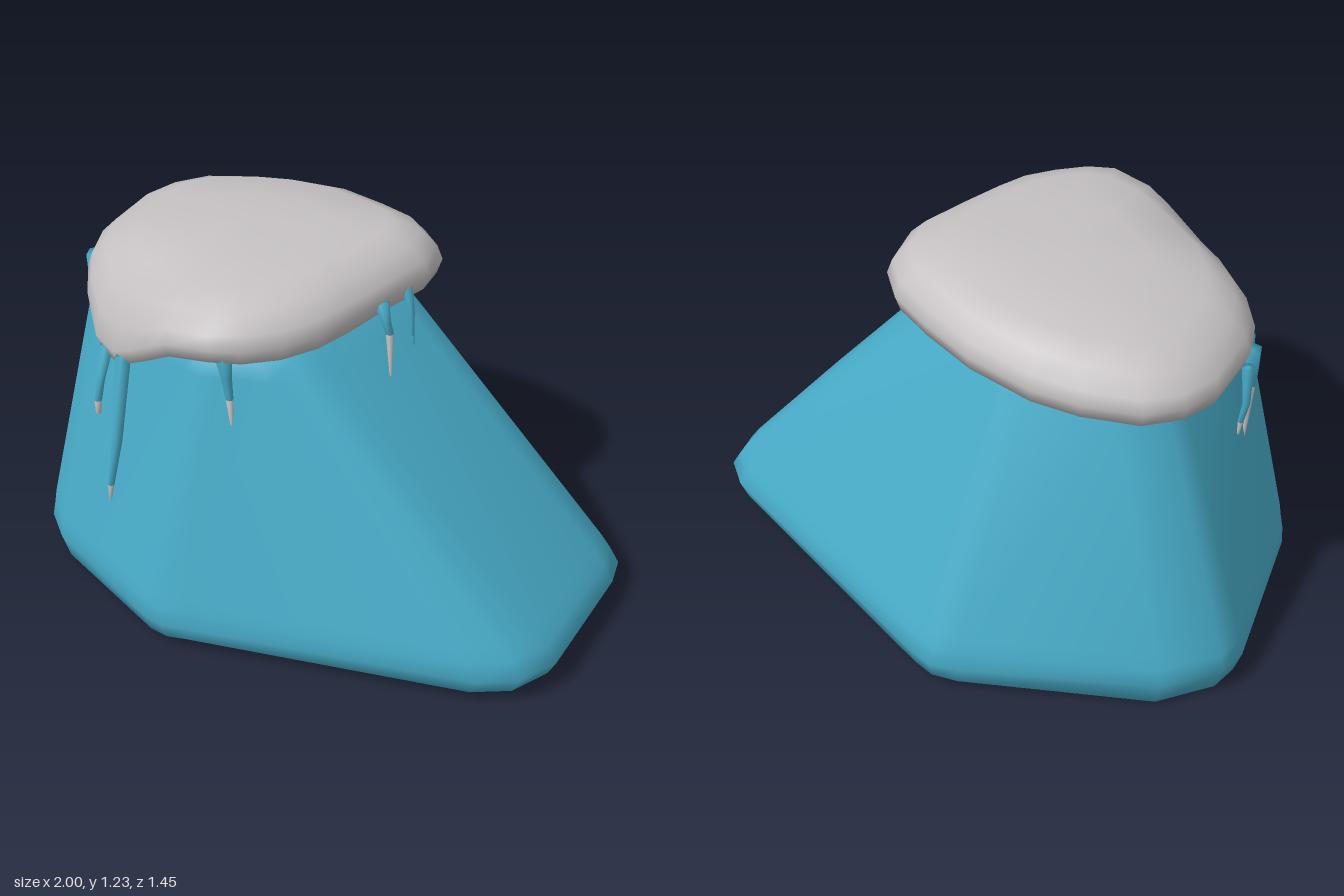
import * as THREE from 'three';

const ice = new THREE.MeshStandardMaterial({ color: 0x48acc9 });
ice.name = 'blue rock';
const snow = new THREE.MeshStandardMaterial({ color: 0xc6c2c3 });
snow.name = 'grey snow';

// Closed skin over rings of [x, y, z] points, lowest ring first, clockwise from above
function loft(rings, bottom, top) {
  const n = rings[0].length;
  const verts = [...rings.flat(), bottom, top];
  const c0 = rings.length * n, c1 = c0 + 1, last = c0 - n;
  const index = [];
  for (let i = 0; i < n; i++) {
    const k = (i + 1) % n;
    for (let j = 0; j < rings.length - 1; j++) {
      const a = j * n + i, b = j * n + k;
      index.push(b, a, a + n, b, a + n, b + n);
    }
    index.push(c0, i, k, c1, last + k, last + i);
  }
  const g = new THREE.BufferGeometry();
  g.setAttribute('position', new THREE.Float32BufferAttribute(verts.flat(), 3));
  g.setIndex(index);
  g.computeVertexNormals();
  return g;
}

function part(name, geometry, material) {
  const m = new THREE.Mesh(geometry, material);
  m.name = name;
  return m;
}

const mix = THREE.MathUtils.lerp;

// Rock: six rounded corners, each three [x, z] base points and one top point
function rock() {
  const corners = [
    { base: [[-1, -0.05], [-1, -0.15], [-0.9, -0.33]], top: [-0.68, -0.1] },
    { base: [[-0.38, -0.69], [-0.3, -0.725], [-0.22, -0.72]], top: [-0.3, -0.34] },
    { base: [[0.78, -0.52], [0.88, -0.46], [0.92, -0.36]], top: [0.18, -0.22] },
    { base: [[1, 0.09], [0.96, 0.23], [0.86, 0.32]], top: [0.18, 0.36] },
    { base: [[0, 0.69], [-0.07, 0.72], [-0.14, 0.72]], top: [-0.05, 0.51] },
    { base: [[-0.64, 0.59], [-0.75, 0.52], [-0.79, 0.46]], top: [-0.59, 0.42] },
  ];
  const floorY = (x) => THREE.MathUtils.clamp(0.03 + 0.036 * x, 0, 0.03);
  // [height, shrink]; the sides run straight from base to top
  const base = [], top = [];
  for (const c of corners) {
    for (const p of c.base) {
      base.push(p);
      top.push([0, 1].map((a) => c.top[a] + (p[a] - c.base[1][a]) * 0.75));
    }
  }
  const ring = (t, s, yOf) => base.map((p, i) => {
    const x = mix(p[0], top[i][0], t), z = mix(p[1], top[i][1], t);
    const sx = -0.25 * t + (x + 0.25 * t) * s, sz = 0.06 * t + (z - 0.06 * t) * s;
    return [sx, yOf(sx), sz];
  });
  return loft([
    ring(0, 0.91, floorY),
    ring(0, 0.97, (x) => floorY(x) + 0.012),
    ring(0, 1, () => 0.1),
    ring(0.04, 0.997, () => 0.155),
    ring(0.09, 1, () => 0.2),
    ring(0.95, 1, () => 0.94),
    ring(1, 0.98, () => 0.99),
    ring(1, 0.88, () => 1.035),
    ring(1, 0.75, () => 1.05),
  ], [0, 0.028, 0], [-0.25, 1.055, 0.06]);
}

// Snow cap: outline of [x, z, lower rim height], swelling up to a tilted crown
function snowCap() {
  const outline = [
    [-0.82, -0.02, 0.96], [-0.8, -0.15, 0.965], [-0.73, -0.26, 0.97], [-0.57, -0.35, 0.975],
    [-0.42, -0.4, 0.985], [-0.2, -0.425, 1.01], [0, -0.395, 1.02], [0.15, -0.36, 1.03],
    [0.25, -0.29, 1.04], [0.3, -0.15, 1.06], [0.285, 0.03, 1.06], [0.27, 0.2, 1.05],
    [0.25, 0.32, 1.045], [0.2, 0.43, 1.04], [0.13, 0.53, 1.045], [0.05, 0.59, 1.05],
    [-0.1, 0.605, 1.02], [-0.2, 0.59, 0.96], [-0.3, 0.565, 0.9], [-0.39, 0.54, 0.85],
    [-0.5, 0.5, 0.85], [-0.62, 0.41, 0.92], [-0.7, 0.32, 0.955], [-0.77, 0.2, 0.96],
  ];
  const cx = -0.22, cz = 0.05;
  const crown = (x) => 1.225 + 0.1 * x;
  const ring = (s, yOf) => outline.map(([x, z, rim]) => {
    const px = cx + (x - cx) * s;
    return [px, yOf(rim, crown(px)), cz + (z - cz) * s];
  });
  return loft([
    ring(0.7, (r) => r + 0.04),
    ring(0.9, (r) => r + 0.015),
    ring(0.97, (r) => r),
    ring(1, (r) => r + 0.05),
    ring(0.97, (r, c) => mix(r + 0.05, c, 0.3)),
    ring(0.88, (r, c) => mix(r + 0.05, c, 0.66)),
    ring(0.72, (r, c) => mix(r + 0.05, c, 0.92)),
    ring(0.4, (r, c) => c + 0.005),
  ], [cx, 1.03, cz], [cx, 1.215, cz]);
}

// Icicle section through [x, y, z, radius] stations, lowest first
function spike(stations) {
  const rings = stations.map(([x, y, z, r]) => Array.from({ length: 6 }, (_, i) => {
    const a = (-i / 6) * Math.PI * 2;
    return [x + r * Math.cos(a), y, z - r * Math.sin(a)];
  }).reverse().map((p) => p));
  const first = stations[0], end = stations[stations.length - 1];
  return loft(rings.map((r) => orient(r)), first.slice(0, 3), end.slice(0, 3));
}

// Put a ring into clockwise order as seen from above
function orient(r) {
  let area = 0;
  r.forEach((p, i) => {
    const q = r[(i + 1) % r.length];
    area += p[0] * q[2] - q[0] * p[2];
  });
  return area < 0 ? r.slice().reverse() : r;
}

export function createModel() {
  const model = new THREE.Group();
  model.name = 'snowyRock';
  model.add(part('rock', rock(), ice), part('snowCap', snowCap(), snow));

  // Icicles: tip, colour change, bend and root stations
  const icicles = [
    [[-0.37, 0.39, 0.61, 0.004], [-0.363, 0.45, 0.61, 0.011], [-0.335, 0.62, 0.6, 0.018], [-0.345, 0.9, 0.54, 0.026]],
    [[-0.46, 0.65, 0.55, 0.008], [-0.458, 0.7, 0.55, 0.013], [-0.45, 0.77, 0.54, 0.013], [-0.455, 0.88, 0.5, 0.024]],
    [[-0.745, 0.65, 0.24, 0.004], [-0.755, 0.86, 0.24, 0.016], [-0.75, 0.91, 0.24, 0.026], [-0.74, 0.99, 0.23, 0.045]],
    [[-0.77, 0.72, 0.17, 0.004], [-0.775, 0.77, 0.17, 0.01], [-0.79, 0.85, 0.17, 0.013], [-0.785, 0.98, 0.17, 0.02]],
    [[-0.69, 0.82, 0.31, 0.004], [-0.69, 0.85, 0.31, 0.008], [-0.695, 0.9, 0.31, 0.014], [-0.69, 0.98, 0.3, 0.025]],
    [[0.1, 0.84, 0.545, 0.004], [0.085, 0.92, 0.535, 0.012], [0.07, 0.99, 0.53, 0.017], [0.06, 1.07, 0.53, 0.03]],
    [[0.32, 0.86, 0.06, 0.004], [0.305, 1.0, 0.05, 0.013], [0.295, 1.04, 0.055, 0.015], [0.27, 1.1, 0.05, 0.026]],
    [[0.31, 0.91, -0.065, 0.004], [0.305, 0.94, -0.065, 0.007], [0.3, 1.02, -0.065, 0.011], [0.28, 1.1, -0.065, 0.018]],
  ];
  icicles.forEach((s, i) => {
    const g = new THREE.Group();
    g.name = 'icicle' + (i + 1);
    g.add(part('icicleTip', spike(s.slice(0, 2)), i === 7 ? ice : snow));
    g.add(part('icicleRoot', spike(s.slice(1)), ice));
    model.add(g);
  });
  return model;
}
